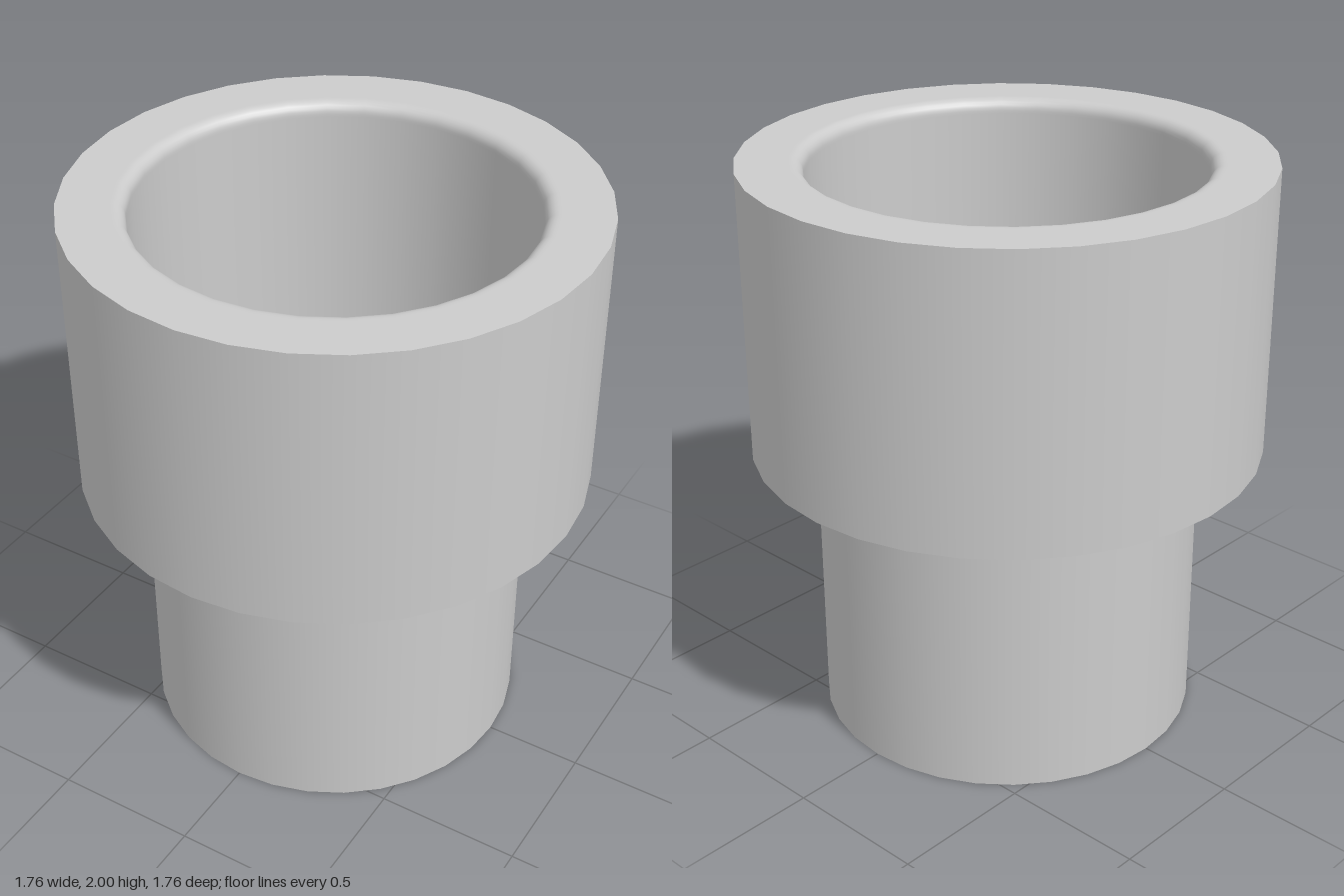
import * as THREE from 'three';

const SIDES = 32;
const OUTER = 0.88;   // collar radius
const INNER = 0.66;   // spigot and socket radius
const FLOOR = 1.0;    // height of the shoulder and the socket floor

// Quarter-ellipse arc points around (cx, cy), from angle a to b in degrees
function arc(cx, cy, rx, ry, a, b, steps = 6) {
  return Array.from({ length: steps + 1 }, (_, i) => {
    const t = THREE.MathUtils.degToRad(a + (b - a) * i / steps);
    return [cx + rx * Math.cos(t), cy + ry * Math.sin(t)];
  });
}

export function createModel() {
  const group = new THREE.Group();
  const material = new THREE.MeshStandardMaterial({ color: 0xcccccc });

  // Each profile is one smooth surface; separate profiles meet at sharp edges
  const addLathe = (name, points) => {
    const profile = points.map(([r, y]) => new THREE.Vector2(r, y));
    const mesh = new THREE.Mesh(new THREE.LatheGeometry(profile, SIDES), material);
    mesh.name = name;
    group.add(mesh);
  };

  // Lower spigot: flat base, then wall flaring through a fillet into the shoulder
  addLathe('spigotBase', [[0, 0], [INNER, 0]]);
  addLathe('spigotWallAndShoulder', [
    [INNER, 0], [INNER, 0.92],
    ...arc(INNER + 0.11, FLOOR - 0.07, 0.11, 0.07, 180, 90),
    [INNER + 0.12, FLOOR], [OUTER, FLOOR],
  ]);

  // Upper collar: outer wall, then flat rim rounding over into the socket
  addLathe('collarWall', [[OUTER, FLOOR], [OUTER, 2]]);
  addLathe('rimAndSocketWall', [
    [OUTER, 2], [INNER + 0.05, 2],
    ...arc(INNER + 0.04, 1.96, 0.04, 0.04, 90, 180),
    [INNER, 1.95], [INNER, FLOOR],
  ]);
  addLathe('socketFloor', [[INNER, FLOOR], [0, FLOOR]]);

  return group;
}
